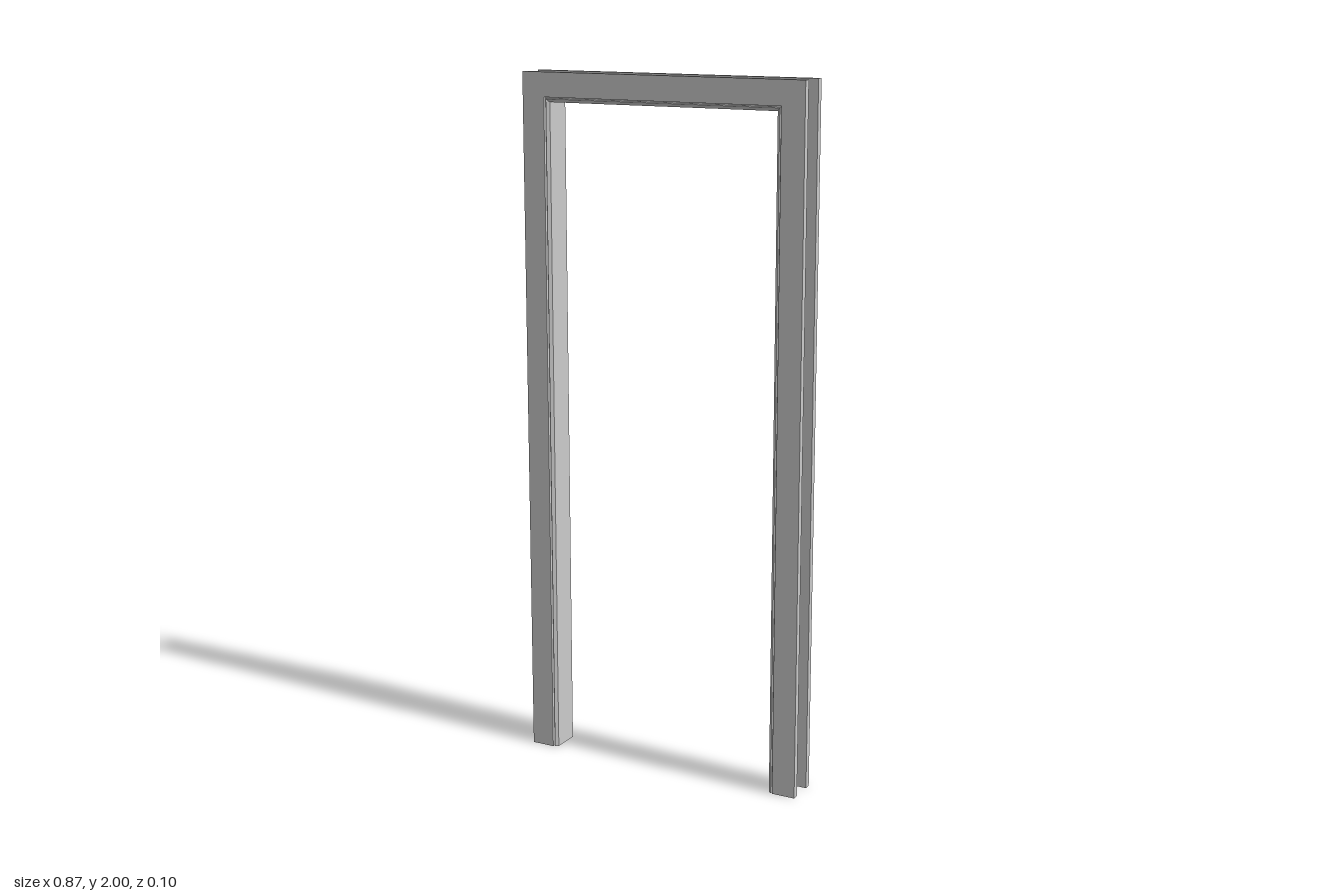
import * as THREE from 'three';

const HALF = 0.433; // half the outer width
const TOP = 2;      // outer height

// Sweeps a closed section of [inset, z] points up one leg, across the head and
// down the other leg, with mitred corners and capped feet.
function sweepFrame(section) {
  const stations = [
    (d) => [d - HALF, 0],
    (d) => [d - HALF, TOP - d],
    (d) => [HALF - d, TOP - d],
    (d) => [HALF - d, 0],
  ];
  const rings = stations.map((at) => section.map(([d, z]) => [...at(d), z]));
  const pos = [];
  const tri = (a, b, c) => pos.push(...a, ...b, ...c);
  const n = section.length;
  for (let s = 0; s < rings.length - 1; s++) {
    for (let i = 0; i < n; i++) {
      const j = (i + 1) % n;
      tri(rings[s][i], rings[s + 1][i], rings[s][j]);
      tri(rings[s][j], rings[s + 1][i], rings[s + 1][j]);
    }
  }
  // feet
  const faces = THREE.ShapeUtils.triangulateShape(section.map(([d, z]) => new THREE.Vector2(d, z)), []);
  for (const [a, b, c] of faces) {
    tri(rings[0][a], rings[0][b], rings[0][c]);
    tri(rings[3][a], rings[3][c], rings[3][b]);
  }
  const geo = new THREE.BufferGeometry();
  geo.setAttribute('position', new THREE.Float32BufferAttribute(pos, 3));
  geo.computeVertexNormals();
  return geo;
}

export function createModel() {
  const group = new THREE.Group();
  group.name = 'doorFrame';
  const material = new THREE.MeshStandardMaterial({ color: 0xcccccc });
  const add = (name, section) => {
    const mesh = new THREE.Mesh(sweepFrame(section), material);
    mesh.name = name;
    group.add(mesh);
  };

  // flat casings on both faces of the wall
  const casing = (z0, z1) => [[0, z0], [0.069, z0], [0.069, z1], [0, z1]];
  add('frontCasing', casing(0.031, 0.05));
  add('backCasing', casing(-0.05, -0.031));

  // jamb lining: body between the casings, shadow groove and bevelled nosing
  const half = [[0.044, 0.031], [0.07, 0.031], [0.07, 0.042], [0.073, 0.042], [0.074, 0.048], [0.083, 0.041]];
  add('jamb', [...half.map(([d, z]) => [d, -z]), ...half.slice().reverse()]);

  return group;
}
